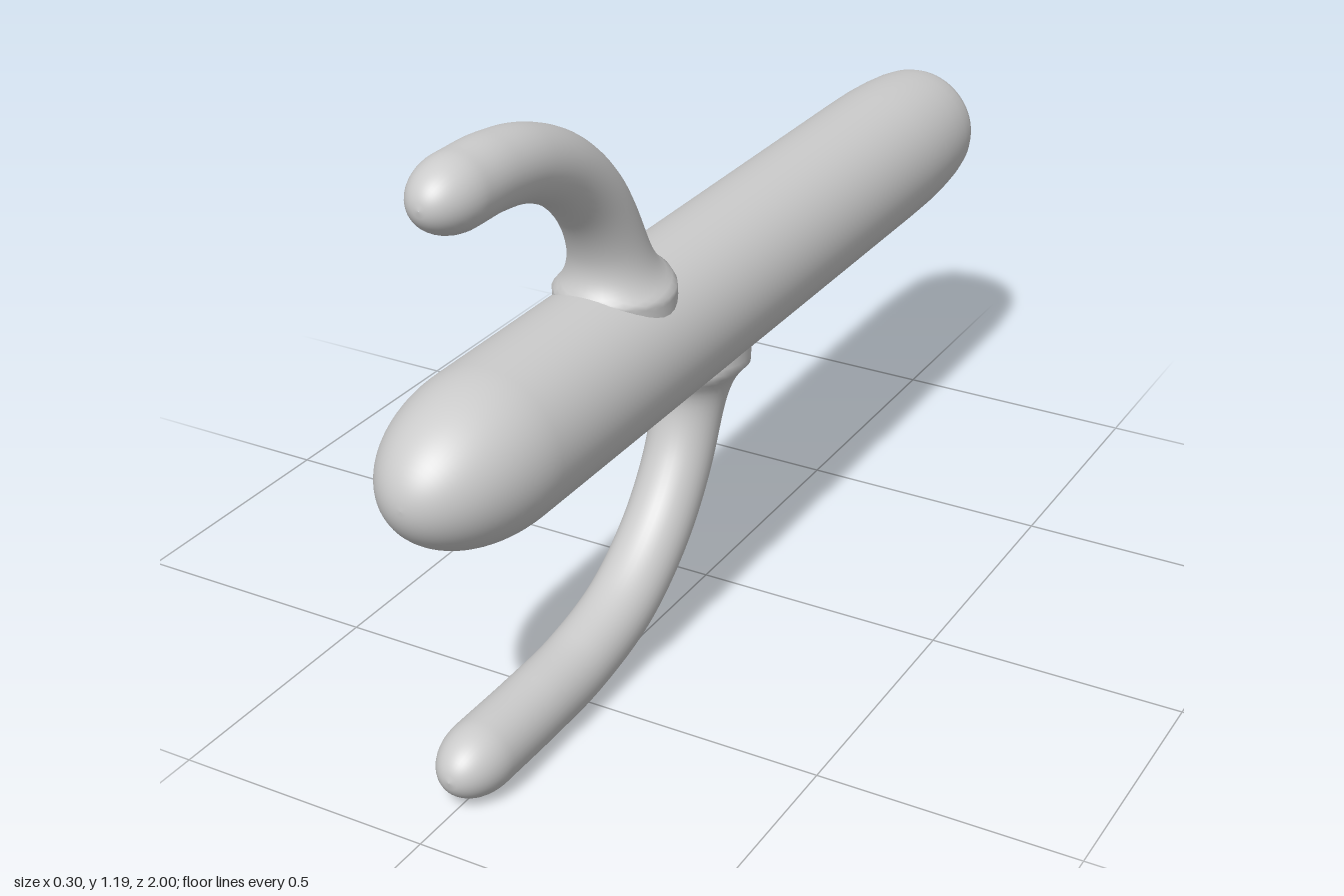
import * as THREE from 'three';

const AXIS_Y = 0.648; // height of the trunk axis
const TRUNK_R = 0.148;
const ARM_R = 0.067;
const TIP_LENGTH = 0.1;

const material = new THREE.MeshStandardMaterial({ color: 0xcccccc });

// Horizontal trunk: softly cut rear end, domed front end
function createTrunk() {
  const profile = [
    [0, -1], [0.06, -1], [0.1, -0.999], [0.115, -0.993], [0.124, -0.98], [0.131, -0.96],
    [0.138, -0.92], [0.143, -0.87], [0.147, -0.8], [TRUNK_R, -0.72],
  ].map(([r, z]) => new THREE.Vector2(r, z));
  for (let i = 1; i < 12; i++) profile.push(new THREE.Vector2(TRUNK_R, -0.72 + i * 0.1225));
  for (let i = 0; i <= 20; i++) {
    const a = (i / 20) * Math.PI / 2;
    profile.push(new THREE.Vector2(i === 20 ? 0 : TRUNK_R * Math.cos(a), 0.75 + 0.25 * Math.sin(a)));
  }
  const trunk = new THREE.Mesh(new THREE.LatheGeometry(profile, 64), material);
  trunk.geometry.rotateX(Math.PI / 2);
  trunk.position.y = AXIS_Y;
  trunk.name = 'trunk';
  return trunk;
}

// Curved arm: rings along a path of [z, y] points from tip to root,
// rounded at the tip and flared where it meets the trunk
function createArm(name, path) {
  const rings = 110, sides = 36;
  const curve = new THREE.CatmullRomCurve3(path.map(([z, y]) => new THREE.Vector3(0, y, z)));
  const length = curve.getLength();
  const side = new THREE.Vector3(1, 0, 0);
  const positions = [], index = [];

  for (let i = 0; i <= rings; i++) {
    const u = (i / rings) ** 1.3; // closer rings at the tip
    const centre = curve.getPointAt(u);
    const up = curve.getTangentAt(u).cross(side);
    const t = Math.min(1, (u * length) / TIP_LENGTH);
    const radius = Math.max(0.0005, ARM_R * Math.sqrt(1 - (1 - t) ** 2));
    for (let j = 0; j < sides; j++) {
      const a = (j / sides) * Math.PI * 2;
      const dir = side.clone().multiplyScalar(Math.cos(a)).addScaledVector(up, Math.sin(a));
      const p = centre.clone().addScaledVector(dir, radius);
      const gap = Math.max(0, Math.hypot(p.x, p.y - AXIS_Y) - TRUNK_R);
      p.addScaledVector(dir, 0.045 * Math.exp(-gap / 0.035));
      positions.push(p.x, p.y, p.z);
      if (i < rings) {
        const k = i * sides + j, n = i * sides + (j + 1) % sides;
        index.push(k, n, k + sides, n, n + sides, k + sides);
      }
    }
  }
  const geometry = new THREE.BufferGeometry();
  geometry.setAttribute('position', new THREE.Float32BufferAttribute(positions, 3));
  geometry.setIndex(index);
  geometry.computeVertexNormals();
  const arm = new THREE.Mesh(geometry, material);
  arm.name = name;
  return arm;
}

export function createModel() {
  const model = new THREE.Group();
  model.name = 'branchedTrunk';
  model.add(
    createTrunk(),
    createArm('upperArm', [
      [0.91, 1.13], [0.8, 1.13], [0.72, 1.128], [0.62, 1.11], [0.51, 1.06],
      [0.42, 0.98], [0.365, 0.89], [0.338, 0.8], [0.33, 0.7],
    ]),
    createArm('lowerArm', [
      [0.91, 0.07], [0.8, 0.07], [0.65, 0.07], [0.5, 0.077], [0.33, 0.12],
      [0.2, 0.21], [0.115, 0.32], [0.073, 0.42], [0.055, 0.5], [0.05, 0.6],
    ]),
  );
  return model;
}
